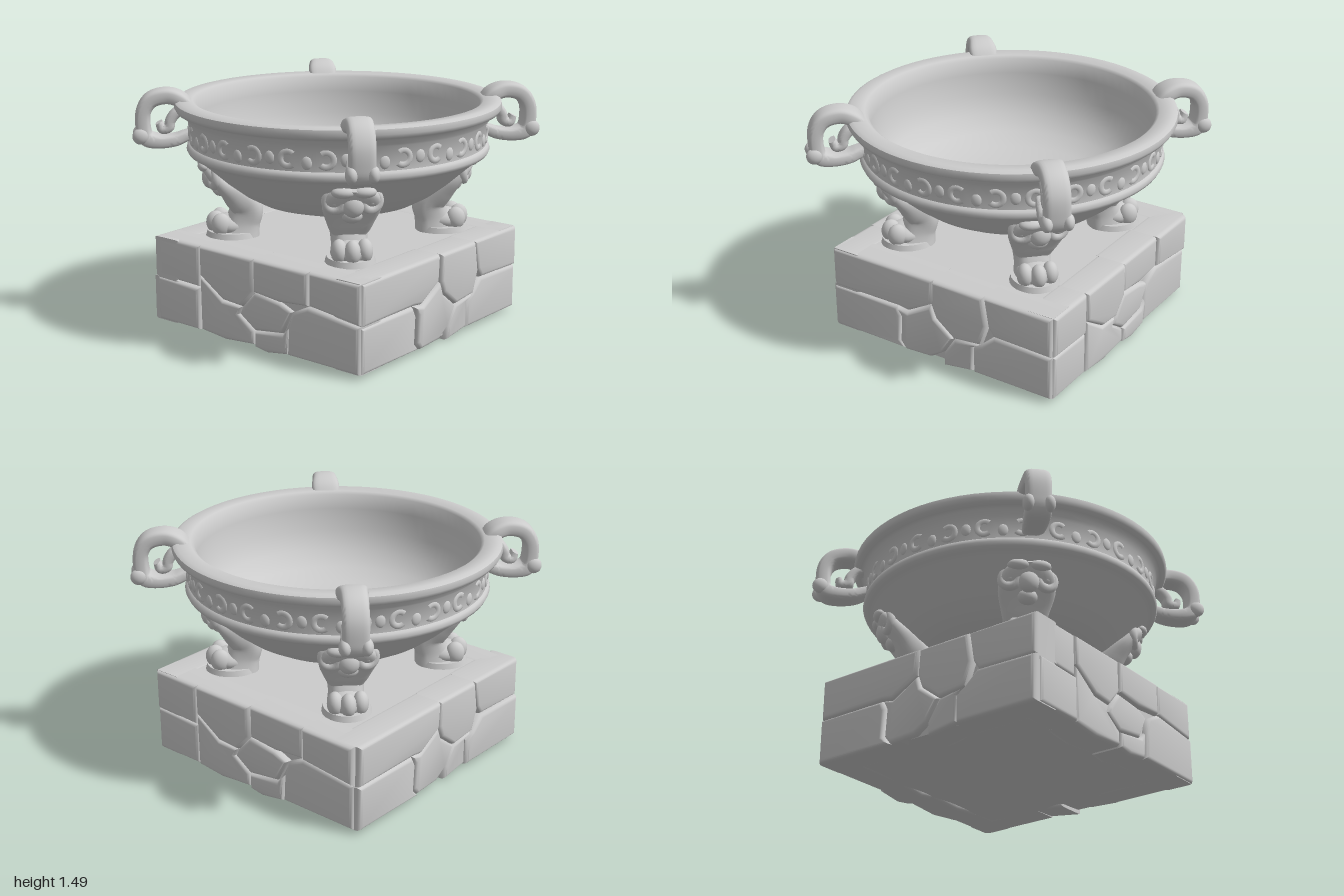
import * as THREE from 'three';
import { toCreasedNormals } from 'three/addons/utils/BufferGeometryUtils.js';

const stoneMat = new THREE.MeshStandardMaterial({ color: 0xcccccc });

function add(parent, name, geometry, x = 0, y = 0, z = 0) {
  const mesh = new THREE.Mesh(geometry, stoneMat);
  mesh.name = name;
  mesh.position.set(x, y, z);
  parent.add(mesh);
  return mesh;
}

function blob(parent, name, x, y, z, sx, sy, sz) {
  const mesh = add(parent, name, new THREE.SphereGeometry(1, 16, 12), x, y, z);
  mesh.scale.set(sx, sy, sz);
  return mesh;
}

// Sweeps a rounded-square section along stations [x, y, halfDepth, halfWidth]
function sweep(stations, steps = 40, sides = 24, squareness = 0.7) {
  const path = new THREE.CatmullRomCurve3(stations.map(s => new THREE.Vector3(s[0], s[1], 0)), false, 'catmullrom');
  const size = new THREE.CatmullRomCurve3(stations.map(s => new THREE.Vector3(s[2], s[3], 0)), false, 'catmullrom');
  const pos = [], index = [];
  const soft = v => Math.sign(v) * Math.pow(Math.abs(v), squareness);
  for (let i = -1; i <= steps + 1; i++) {
    const t = Math.min(Math.max(i / steps, 0), 1);
    const cap = i < 0 || i > steps ? 0.001 : 1; // closes both ends
    const p = path.getPoint(t), tan = path.getTangent(t), s = size.getPoint(t);
    for (let j = 0; j < sides; j++) {
      const a = j / sides * Math.PI * 2;
      const d = soft(Math.cos(a)) * s.x * cap, w = soft(Math.sin(a)) * s.y * cap;
      pos.push(p.x - tan.y * d, p.y + tan.x * d, w);
    }
  }
  for (let i = 0; i < steps + 2; i++) for (let j = 0; j < sides; j++) {
    const k = (j + 1) % sides;
    const a = i * sides + j, b = i * sides + k, c = b + sides, d = a + sides;
    index.push(a, b, c, a, c, d);
  }
  const g = new THREE.BufferGeometry();
  g.setAttribute('position', new THREE.Float32BufferAttribute(pos, 3));
  g.setIndex(index);
  return toCreasedNormals(g, 0.9);
}

// Stone outlines on a wall: [x, y] corners
const wallA = [
  [[-.785, .565], [-.03, .565], [-.04, .4], [-.22, .3], [-.3, .31], [-.785, .31]],
  [[-.03, .565], [.33, .565], [.36, .38], [.31, .24], [.12, .22], [-.01, .32], [-.04, .4]],
  [[.33, .565], [.795, .565], [.795, .31], [.4, .32], [.36, .38]],
  [[-.79, .31], [-.3, .31], [-.27, .25], [-.28, .08], [-.24, .03], [-.79, .03]],
  [[-.3, .31], [-.22, .3], [-.04, .4], [-.01, .32], [.12, .22], [.04, .1], [-.05, .04], [-.24, .03], [-.28, .08], [-.27, .25]],
  [[.12, .22], [.31, .24], [.25, .2], [.25, .04], [.04, .01], [.04, .1]],
  [[.31, .24], [.4, .32], [.795, .31], [.795, .03], [.25, .03], [.25, .2]]
];
const wallB = [
  [[-.79, .565], [-.44, .565], [-.44, .3], [-.79, .31]],
  [[-.79, .31], [-.44, .3], [-.44, .03], [-.79, .03]],
  [[-.44, .565], [0, .565], [0, .36], [-.1, .25], [-.25, .26], [-.44, .38]],
  [[-.44, .38], [-.25, .26], [-.1, .25], [-.12, .2], [0, .12], [0, .03], [-.24, .01], [-.44, .03]],
  [[0, .565], [.42, .565], [.42, .36], [.2, .34], [0, .36]],
  [[.42, .565], [.795, .565], [.795, .32], [.42, .36]],
  [[-.1, .25], [0, .36], [.2, .34], [.3, .3], [.22, .15], [0, .12], [-.12, .2]],
  [[.42, .36], [.795, .32], [.795, .03], [.26, .03], [.27, .2], [.3, .3]],
  [[0, .12], [.22, .15], [.27, .2], [.26, .03], [.1, .005], [0, .02]]
];

function makePlinth() {
  const plinth = new THREE.Group();
  plinth.name = 'plinth';
  // Core with an underside that sags roughly towards the middle
  const core = new THREE.BoxGeometry(1.54, 0.527, 1.56, 24, 1, 24);
  const p = core.attributes.position;
  for (let i = 0; i < p.count; i++) if (p.getY(i) < 0) {
    const x = p.getX(i), z = p.getZ(i);
    const sag = Math.max(0, (1 - x * x / 0.593) * (1 - z * z / 0.609));
    p.setY(i, p.getY(i) - sag * (0.015 + 0.01 * Math.sin(9 * x + 2 * z) * Math.cos(8 * z - 3 * x)));
  }
  core.computeVertexNormals();
  add(plinth, 'plinthCore', core, 0, 0.2995, -0.005);
  const reach = [0.808, 0.81, 0.825, 0.795];
  for (let side = 0; side < 4; side++) {
    const wall = new THREE.Group();
    wall.name = 'stoneWall';
    wall.rotation.y = side * Math.PI / 2;
    (side % 2 ? wallB : wallA).forEach((outline, i) => {
      const shape = new THREE.Shape(outline.map(c => new THREE.Vector2(c[0], c[1])));
      const g = new THREE.ExtrudeGeometry(shape, {
        depth: 0.15, bevelThickness: 0.035, bevelSize: 0.025, bevelOffset: -0.025, bevelSegments: 4
      });
      const face = reach[side] + 0.006 * ((i * 5 + side) % 3);
      add(wall, 'stone', toCreasedNormals(g, 0.9), 0, 0, face - 0.185);
    });
    plinth.add(wall);
  }
  return plinth;
}

function makeBowl() {
  const bowl = new THREE.Group();
  bowl.name = 'bowl';
  const profile = [
    [0, .725], [.25, .735], [.38, .755], [.5, .79], [.6, .845], [.7, .92], [.79, 1.0], [.86, 1.06], [.89, 1.085],
    [.918, 1.095], [.928, 1.115], [.922, 1.14], [.908, 1.15], [.912, 1.29], [.928, 1.305], [.935, 1.33],
    [.955, 1.342], [.985, 1.352], [.998, 1.375], [.993, 1.405], [.97, 1.418], [.885, 1.412], [.864, 1.395],
    [.855, 1.3], [.83, 1.16], [.775, 1.045], [.68, .955], [.55, .9], [.35, .868], [.18, .858], [0, .855]
  ].map(p => new THREE.Vector2(p[0], p[1]));
  add(bowl, 'basin', toCreasedNormals(new THREE.LatheGeometry(profile, 72), 0.8));
  // Worn, low frieze: curls alternating with beads
  const count = 52;
  for (let i = 0; i < count; i++) {
    const spot = new THREE.Group();
    spot.name = 'friezeCarving';
    spot.rotation.y = i / count * Math.PI * 2;
    if (i % 2) {
      blob(spot, 'bead', 0, 1.23 - 0.01 * (i % 4), 0.905, 0.032, 0.04, 0.015);
    } else {
      const curl = add(spot, 'curl', new THREE.TorusGeometry(0.042, 0.02, 8, 16, 4.6), 0, 1.22, 0.905);
      curl.rotation.z = i % 4 ? 0.8 : 3.9;
      curl.scale.z = 0.6;
    }
    bowl.add(spot);
  }
  return bowl;
}

// Handle loops outward along +x, from the rim round and back to the band
function makeHandle() {
  const handle = new THREE.Group();
  handle.name = 'handle';
  add(handle, 'handleLoop', sweep([
    [.9, 1.375, .03, .085], [.96, 1.42, .045, .09], [1.04, 1.442, .048, .078], [1.13, 1.42, .048, .075],
    [1.18, 1.35, .046, .075], [1.185, 1.25, .046, .075], [1.165, 1.185, .048, .078], [1.09, 1.165, .042, .075],
    [1.0, 1.17, .038, .068], [.94, 1.19, .035, .06], [.89, 1.21, .03, .055]
  ], 64, 24, 0.55));
  add(handle, 'innerCurl', sweep([
    [.93, 1.36, .03, .05], [.985, 1.335, .032, .052], [1.02, 1.29, .032, .052],
    [1.03, 1.25, .032, .052], [1.07, 1.24, .03, .05], [1.09, 1.28, .022, .045]
  ], 32));
  for (const s of [-1, 1]) blob(handle, 'handleKnob', 1.2, 1.205, s * 0.06, 0.05, 0.05, 0.035);
  return handle;
}

// Paw-footed leg facing outward along +x
function makeLeg() {
  const leg = new THREE.Group();
  leg.name = 'leg';
  add(leg, 'legShaft', sweep([
    [.61, .56, .12, .12], [.59, .65, .105, .105], [.57, .74, .1, .115], [.635, .825, .085, .145],
    [.715, .905, .055, .17], [.785, .985, .045, .15], [.835, 1.04, .025, .08]
  ]));
  const sole = add(leg, 'sole', new THREE.CylinderGeometry(0.14, 0.15, 0.035, 24), .655, .58, 0);
  sole.scale.x = 1.12;
  blob(leg, 'pawTop', .67, .63, 0, .12, .07, .115);
  for (const s of [-1, 0, 1]) {
    blob(leg, 'toe', .76 - Math.abs(s) * .03, .645, s * .075, .06, .072, .048);
  }
  // Carved shoulder
  blob(leg, 'shoulderBoss', .79, .93, 0, .05, .07, .065);
  blob(leg, 'shoulderDrop', .725, .86, 0, .055, .05, .065);
  for (const s of [-1, 1]) {
    const volute = add(leg, 'volute', new THREE.TorusGeometry(0.05, 0.028, 10, 20), .77, .95, s * .105);
    volute.rotation.set(0, Math.PI / 2 - s * 0.3, 0);
    blob(leg, 'voluteBead', .77, .95, s * .105, .035, .03, .03);
    blob(leg, 'brow', .82, 1.015, s * .06, .045, .035, .07);
  }
  return leg;
}

export function createModel() {
  const model = new THREE.Group();
  model.name = 'stoneBrazier';
  model.add(makePlinth(), makeBowl());
  // Handles and legs on the four diagonals
  for (let i = 0; i < 4; i++) {
    const corner = new THREE.Group();
    corner.name = 'corner';
    corner.rotation.y = Math.PI / 4 + i * Math.PI / 2;
    corner.add(makeHandle(), makeLeg());
    model.add(corner);
  }
  return model;
}
